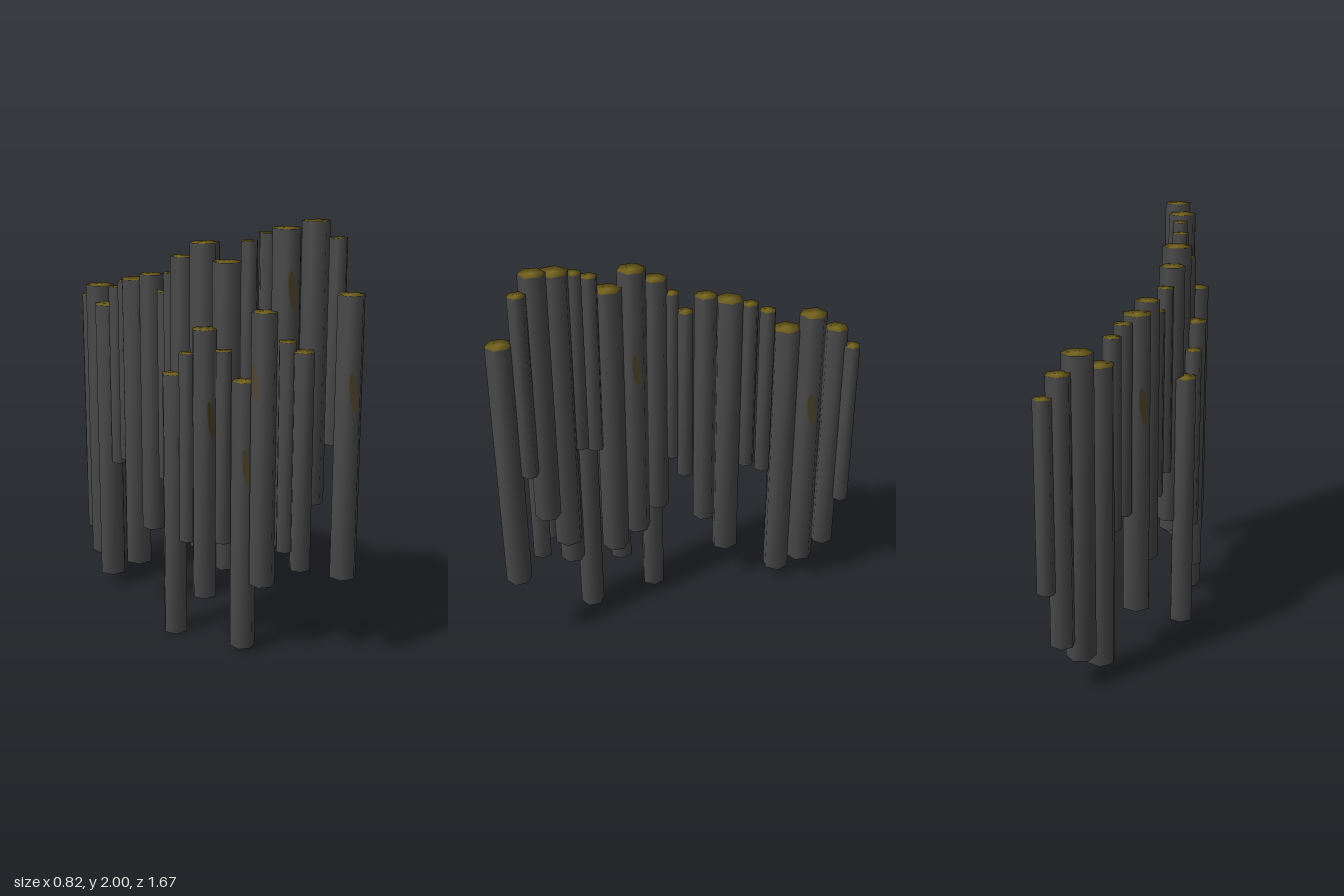
import * as THREE from 'three';
import { mergeVertices } from 'three/addons/utils/BufferGeometryUtils.js';

// Each column: x, z, radius, bottom, top
const COLUMNS = [
  [-0.335, -0.80, 0.043, 0.53, 1.42],
  [-0.345, -0.72, 0.058, 0.25, 1.51],
  [-0.34, -0.605, 0.07, 0.145, 1.58],
  [-0.34, -0.48, 0.07, 0.07, 1.50],
  [-0.32, -0.385, 0.043, 0.70, 1.60],
  [-0.30, -0.30, 0.043, 0.74, 1.64],
  [-0.29, -0.20, 0.07, 0.23, 1.665],
  [-0.245, -0.09, 0.057, 0.44, 1.70],
  [-0.21, 0.005, 0.043, 0.72, 1.63],
  [-0.205, 0.07, 0.04, 0.825, 1.725],
  [-0.175, 0.145, 0.06, 0.55, 1.81],
  [-0.235, 0.18, 0.06, 0, 1.28],
  [-0.11, 0.245, 0.07, 0.445, 1.88],
  [-0.205, 0.27, 0.041, 0.49, 1.39],
  [-0.15, 0.34, 0.06, 0.235, 1.51],
  [-0.045, 0.35, 0.068, 0.37, 1.805],
  [-0.09, 0.42, 0.041, 0.52, 1.42],
  [0.03, 0.42, 0.041, 1.0, 1.90],
  [-0.015, 0.48, 0.06, 0.015, 1.29],
  [0.09, 0.48, 0.041, 1.04, 1.94],
  [0.045, 0.56, 0.061, 0.345, 1.61],
  [0.145, 0.555, 0.07, 0.53, 1.965],
  [0.115, 0.645, 0.043, 0.53, 1.49],
  [0.245, 0.63, 0.062, 0.74, 2.0],
  [0.17, 0.69, 0.05, 0.45, 1.45],
  [0.325, 0.685, 0.043, 1.02, 1.93],
  [0.345, 0.775, 0.063, 0.42, 1.70],
];

// Lichen patches: column index, facing angle from +z towards +x, height
const PATCHES = [
  [2, 1.57, 1.08], [12, 1.57, 1.38], [6, 0, 1.45], [6, -1.57, 1.25],
  [11, 0, 0.9], [14, 0, 1.1], [18, 0, 0.9], [21, 0, 1.7],
  [26, -0.5, 1.28], [20, -1.57, 1.3],
];

const SIDE = Math.PI / 3;
const turnOf = (i) => SIDE / 2 + 0.25 * Math.sin(i * 2.4);

export function createModel() {
  const stone = new THREE.MeshStandardMaterial({ color: 0x4a4a4a });
  stone.name = 'darkStone';
  const moss = new THREE.MeshStandardMaterial({ color: 0x7a6820 });
  moss.name = 'moss';
  const lichen = new THREE.MeshStandardMaterial({ color: 0x50452c });
  lichen.name = 'lichen';

  const group = new THREE.Group();
  group.name = 'basaltColumns';

  // Six-sided prisms with shared smooth normals and mossy tops
  COLUMNS.forEach(([x, z, r, bottom, top], i) => {
    let geo = new THREE.CylinderGeometry(r, r, top - bottom, 6);
    geo.deleteAttribute('uv');
    geo.deleteAttribute('normal');
    geo = mergeVertices(geo);
    geo.computeVertexNormals();
    const column = new THREE.Mesh(geo, [stone, moss, stone]);
    column.name = `column${i + 1}`;
    column.position.set(x, (top + bottom) / 2, z);
    column.rotation.y = turnOf(i);
    group.add(column);
  });

  // Slim patches lying just off the nearest flat face
  PATCHES.forEach(([i, facing, y], n) => {
    const [x, z, r] = COLUMNS[i];
    const first = turnOf(i) + SIDE / 2;
    const angle = first + Math.round((facing - first) / SIDE) * SIDE;
    const reach = r * Math.cos(SIDE / 2) + 0.002;
    const shape = new THREE.Shape().absellipse(0, 0, r * 0.28, 0.09, 0, Math.PI * 2, false, 0.12);
    const patch = new THREE.Mesh(new THREE.ShapeGeometry(shape, 8), lichen);
    patch.name = `lichenPatch${n + 1}`;
    patch.position.set(x + Math.sin(angle) * reach, y, z + Math.cos(angle) * reach);
    patch.rotation.y = angle;
    group.add(patch);
  });

  return group;
}
